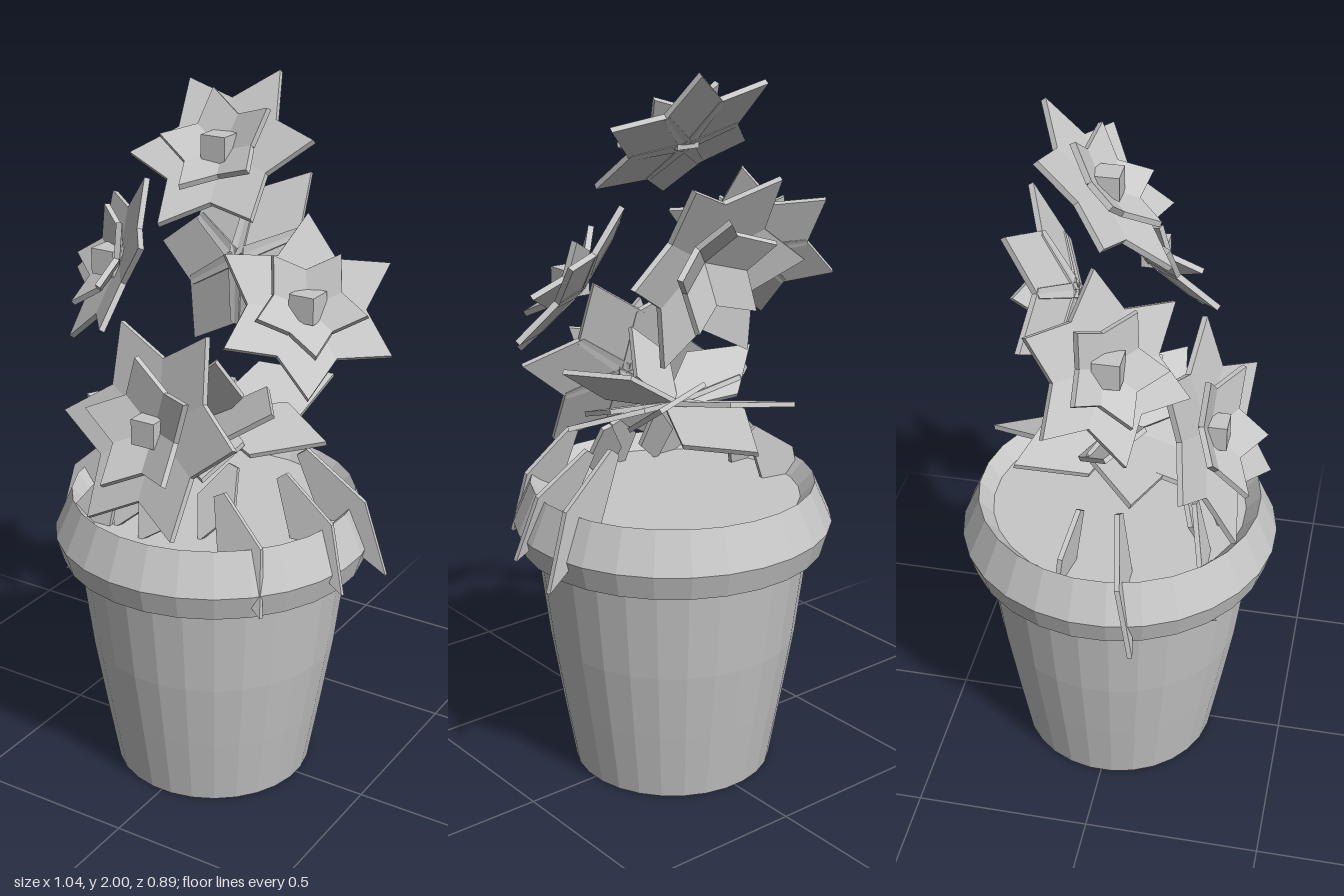
import * as THREE from 'three';

const clay = new THREE.MeshStandardMaterial({ color: 0xc8c8c8 });
clay.name = 'paleGrey';

const v = (a) => new THREE.Vector3(...a);

function mesh(name, geometry) {
  const flat = geometry.index ? geometry.toNonIndexed() : geometry;
  flat.computeVertexNormals();
  const m = new THREE.Mesh(flat, clay);
  m.name = name;
  return m;
}

// Pointed kite blade along +x, lying in the xy plane
function blade(name, length, width, thickness = 0.016) {
  const shape = new THREE.Shape([
    new THREE.Vector2(0, -width * 0.12),
    new THREE.Vector2(length * 0.5, -width / 2),
    new THREE.Vector2(length, 0),
    new THREE.Vector2(length * 0.5, width / 2),
    new THREE.Vector2(0, width * 0.12),
  ]);
  const geo = new THREE.ExtrudeGeometry(shape, { depth: thickness, bevelEnabled: false });
  geo.translate(0, 0, -thickness / 2);
  return mesh(name, geo);
}

// Ring of petals around local z, lifted towards +z by tilt
function ring(name, count, length, width, phase, tilt, z) {
  const group = new THREE.Group();
  group.name = name;
  for (let i = 0; i < count; i++) {
    const b = blade('petal', length, width);
    b.rotation.order = 'ZYX';
    b.rotation.set(0, -tilt, phase + (i * Math.PI * 2) / count);
    b.position.z = z;
    group.add(b);
  }
  return group;
}

// Double star of petals, usually with a square heart
function flower({ name, at, facing, radius, phase, tilt = 0.15, heart = true }) {
  const group = new THREE.Group();
  group.name = name;
  group.position.copy(v(at));
  const star = new THREE.Group();
  star.name = 'petals';
  star.lookAt(v(facing));
  star.add(
    ring('outerPetals', 6, radius, radius * 0.66, phase, tilt, -0.035),
    ring('innerPetals', 5, radius * 0.66, radius * 0.44, phase + 0.5, tilt + 0.28, -0.025),
  );
  group.add(star);
  if (heart) group.add(mesh('flowerHeart', new THREE.BoxGeometry(0.072, 0.072, 0.072)));
  return group;
}

// Leaf from base to tip, its face turned towards the given direction
function leafBetween(name, base, tip, width, facing) {
  const dir = v(tip).sub(v(base));
  const leaf = blade(name, dir.length(), width, 0.014);
  const x = dir.normalize();
  const y = v(facing).cross(x).normalize();
  const z = new THREE.Vector3().crossVectors(x, y);
  leaf.quaternion.setFromRotationMatrix(new THREE.Matrix4().makeBasis(x, y, z));
  leaf.position.copy(v(base));
  return leaf;
}

export function createModel() {
  const model = new THREE.Group();
  model.name = 'pottedFlowers';

  // Pot with a sloped rim and recessed soil
  const soilHeight = 0.81;
  const profile = [
    [0, 0], [0.285, 0], [0.32, 0.2], [0.353, 0.4], [0.385, 0.66], [0.43, 0.67],
    [0.45, 0.74], [0.4, 0.855], [0.36, soilHeight],
  ].map(([r, y]) => new THREE.Vector2(r, y));
  const pot = mesh('pot', new THREE.LatheGeometry(profile, 28, Math.PI / 28));
  const soilGeo = new THREE.CircleGeometry(0.36, 28, Math.PI / 28 + Math.PI / 2);
  soilGeo.rotateX(-Math.PI / 2);
  const soil = mesh('soil', soilGeo);
  soil.position.y = soilHeight;
  model.add(pot, soil);

  // Flowers
  const flowers = [
    { name: 'topFlower', at: [0, 1.82, -0.03], facing: [0, 1, 1], radius: 0.265, phase: 0.22, tilt: 0.12 },
    { name: 'rightFlower', at: [-0.315, 1.48, 0.035], facing: [-0.62, 0.42, 0.65], radius: 0.255, phase: 0.42 },
    { name: 'leftFlower', at: [0.31, 1.46, 0.04], facing: [0.52, 0.58, 0.6], radius: 0.255, phase: 0.42 },
    { name: 'frontFlower', at: [-0.03, 1.12, 0.27], facing: [-0.2, 0.36, 0.93], radius: 0.315, phase: 0.1 },
    { name: 'backFlower', at: [0, 1.49, -0.15], facing: [0, -0.25, -0.95], radius: 0.305, phase: 0, tilt: 0.3, heart: false },
  ];
  flowers.forEach((f) => model.add(flower(f)));

  // Spreading leaves under the flowers: tip, width, facing
  const whorl = new THREE.Group();
  whorl.name = 'spreadingLeaves';
  [
    [[0, 1.02, -0.36], 0.22, [0.3, 1, 0]],
    [[0.24, 1.16, -0.25], 0.24, [0.6, 0.8, 0]],
    [[-0.24, 1.08, -0.24], 0.22, [-0.4, 1, 0]],
    [[-0.3, 1.18, 0.02], 0.2, [0.3, 0.8, -0.5]],
    [[-0.36, 1.09, 0.1], 0.22, [0, 1, 0.4]],
    [[0.355, 1.07, 0], 0.22, [0, 1, 0.4]],
    [[0.27, 1.18, 0.14], 0.22, [0, 1, 0.6]],
    [[0.07, 1.28, 0.1], 0.16, [0.3, 0, 0.9]],
    [[0.12, 1.0, 0.25], 0.2, [0, 1, 0.5]],
    [[-0.16, 1.02, 0.22], 0.2, [0, 1, 0.5]],
  ].forEach(([tip, width, facing]) =>
    whorl.add(leafBetween('spreadingLeaf', [0, 1.07, 0], tip, width, facing)));
  model.add(whorl);

  // Leaves hanging over the rim: base, tip, width
  const leaves = new THREE.Group();
  leaves.name = 'droopingLeaves';
  [
    [[0.25, 1.0, -0.06], [0.5, 0.67, -0.1], 0.15],
    [[0.25, 0.97, 0.05], [0.47, 0.69, 0.1], 0.14],
    [[0.17, 0.97, 0.24], [0.34, 0.68, 0.31], 0.14],
    [[-0.26, 0.98, 0.05], [-0.46, 0.65, 0.12], 0.15],
    [[-0.16, 0.97, 0.24], [-0.28, 0.66, 0.32], 0.13],
    [[-0.24, 0.96, -0.06], [-0.4, 0.74, -0.1], 0.13],
    [[0.14, 1.0, 0.12], [0.09, 0.8, 0.22], 0.12],
    [[-0.1, 0.97, 0.2], [-0.15, 0.8, 0.27], 0.12],
    [[0.02, 0.96, 0.24], [-0.05, 0.8, 0.3], 0.12],
  ].forEach(([base, tip, width]) =>
    leaves.add(leafBetween('droopingLeaf', base, tip, width, [0, 0.2, 1])));
  model.add(leaves);

  return model;
}
